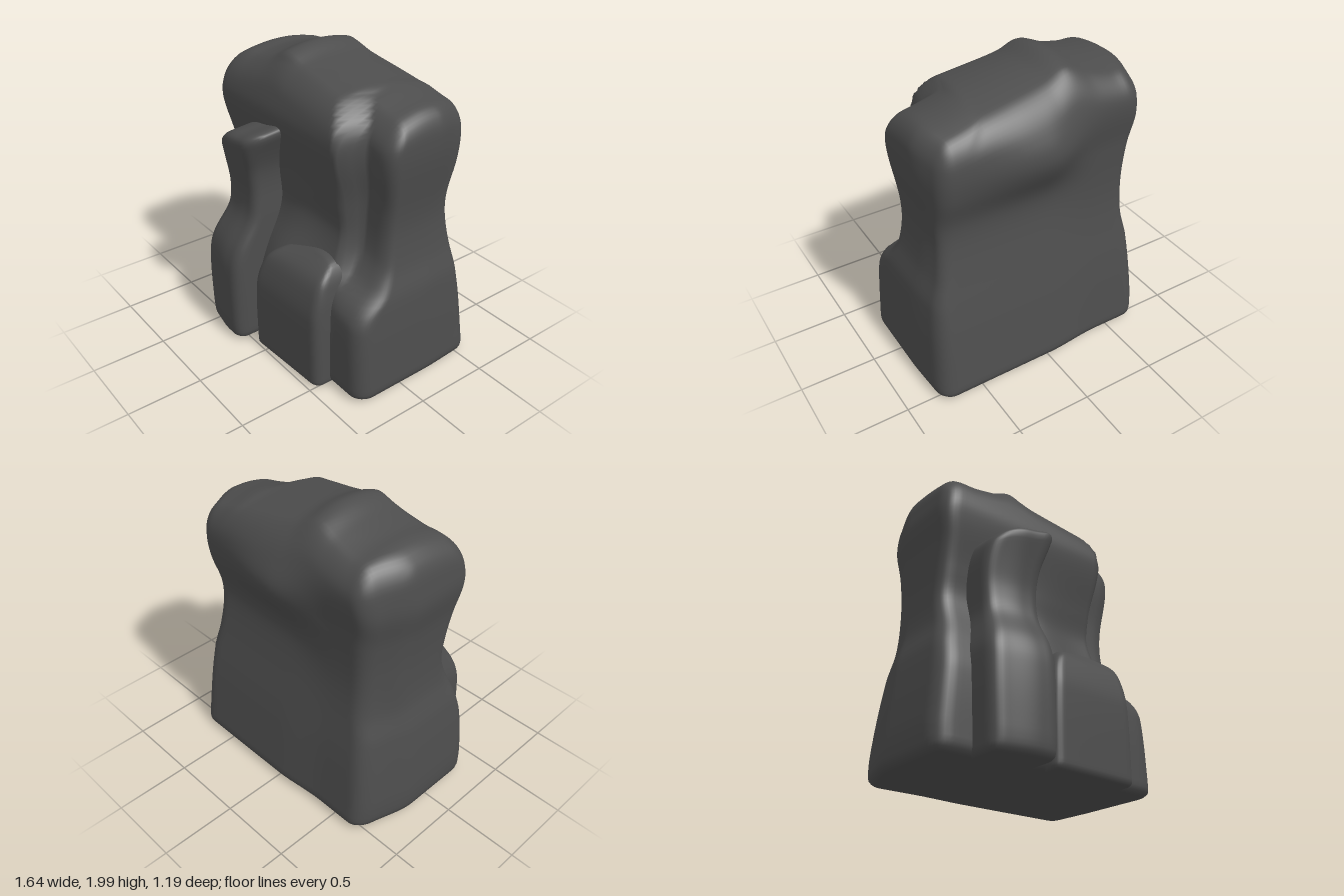
import * as THREE from 'three';
import { mergeVertices } from 'three/addons/utils/BufferGeometryUtils.js';

const { lerp, clamp, smoothstep } = THREE.MathUtils;
const bell = (d, width) => Math.exp(-((d / width) ** 2));

// Smooth curve through [position, value] pairs
function curve(...p) {
  const slope = (i) => {
    const a = p[Math.max(i - 1, 0)], b = p[Math.min(i + 1, p.length - 1)];
    return (b[1] - a[1]) / (b[0] - a[0]);
  };
  return (t) => {
    t = clamp(t, p[0][0], p[p.length - 1][0]);
    let i = 0;
    while (i < p.length - 2 && t > p[i + 1][0]) i++;
    const w = p[i + 1][0] - p[i][0], s = (t - p[i][0]) / w, s2 = s * s, s3 = s2 * s;
    return p[i][1] * (2 * s3 - 3 * s2 + 1) + slope(i) * w * (s3 - 2 * s2 + s)
      + p[i + 1][1] * (3 * s2 - 2 * s3) + slope(i + 1) * w * (s3 - s2);
  };
}

// Rounded block whose six sides follow the given curves
function boulder(name, material, segments, round, shape) {
  const box = new THREE.BoxGeometry(2, 2, 2, ...segments);
  box.deleteAttribute('uv');
  box.deleteAttribute('normal');
  const geometry = mergeVertices(box, 1e-4);
  const pos = geometry.attributes.position;
  const v = new THREE.Vector3(), inner = new THREE.Vector3(), r = new THREE.Vector3();
  for (let i = 0; i < pos.count; i++) {
    v.fromBufferAttribute(pos, i);
    r.set(round.x, v.y > 0 ? round.top : round.bottom, round.z);
    inner.set(clamp(v.x, r.x - 1, 1 - r.x), clamp(v.y, r.y - 1, 1 - r.y), clamp(v.z, r.z - 1, 1 - r.z));
    v.sub(inner).divide(r).normalize().multiply(r).add(inner);
    const a = (v.x + 1) / 2, h = (v.y + 1) / 2, c = (v.z + 1) / 2;
    const xTop = lerp(shape.left(1.2, v.z), shape.right(1.2, v.z), a);
    const y = 0.01 + h * (shape.top(xTop, v.z) - 0.01);
    const x = lerp(shape.left(y, v.z), shape.right(y, v.z), a);
    pos.setXYZ(i, x, y, lerp(shape.back(x, y), shape.front(x, y), c));
  }
  geometry.computeVertexNormals();
  const mesh = new THREE.Mesh(geometry, material);
  mesh.name = name;
  return mesh;
}

export function createModel() {
  const group = new THREE.Group();
  group.name = 'rock';
  const stone = new THREE.MeshStandardMaterial({ color: 0x4d4d4d });
  stone.name = 'dark stone';

  // Main mass: shoulder cut back at the +x front, overhang on the upper back
  const face = curve([0, 0.37], [0.5, 0.36], [0.7, 0.31], [1, 0.2], [1.2, 0.22], [1.58, 0.3], [1.75, 0.27], [1.92, 0.2]);
  const shoulder = curve([0, 0.36], [0.55, 0.35], [0.65, 0.3], [0.75, 0.18], [0.9, 0.1], [1.2, 0.08], [1.6, 0.12], [1.8, 0.05]);
  const shoulderEdge = curve([0.6, 0.5], [0.9, 0.46], [1.2, 0.46], [1.55, 0.5], [1.72, 0.47], [1.85, 0.38]);
  const leftSide = curve([0, -0.82], [0.2, -0.825], [0.65, -0.78], [0.85, -0.735], [1.1, -0.725], [1.35, -0.74], [1.55, -0.77], [1.7, -0.755], [1.9, -0.72]);
  const rightSide = curve([0, 0.82], [0.15, 0.815], [0.65, 0.78], [0.85, 0.73], [1.05, 0.705], [1.2, 0.71], [1.55, 0.755], [1.8, 0.75]);
  const crest = curve([-0.7, 1.87], [-0.6, 1.9], [-0.5, 1.905], [-0.35, 1.945], [-0.2, 2], [-0.05, 1.95], [0.2, 1.905], [0.4, 1.87], [0.55, 1.83], [0.7, 1.8]);
  const rear = curve([0, -0.6], [0.5, -0.535], [1, -0.445], [1.2, -0.435], [1.42, -0.49], [1.6, -0.505], [1.8, -0.48], [1.95, -0.42]);
  const buttress = curve([0, -0.57], [0.5, -0.515], [1, -0.445], [1.4, -0.455], [1.7, -0.49], [1.95, -0.42]);
  group.add(boulder('mainRock', stone, [56, 56, 32], { x: 0.13, top: 0.15, bottom: 0.06, z: 0.24 }, {
    left: (y, w) => leftSide(y) + 0.09 * smoothstep(-w, 0.1, 1),
    right: (y, w) => rightSide(y) - smoothstep(-w, 0.1, 1) * (0.02 + 0.05 * smoothstep(y, 1.1, 1.8)),
    top: (x, w) => crest(x) - 0.06 * w * w,
    front: (x, y) => {
      const e = shoulderEdge(y);
      const middle = 0.08 * bell(x, 0.22) * (1 - 0.5 * smoothstep(y, 0.5, 0.95) - 0.5 * smoothstep(y, 0.9, 1.5));
      return lerp(face(y) + middle, shoulder(y + 0.3 * (x - 0.65)), smoothstep(x, e - 0.03, e + 0.05));
    },
    back: (x, y) => lerp(buttress(y), rear(y), smoothstep(x, -0.4, 0))
      - 0.08 * bell(y - 1.55, 0.2) * bell(x - 0.03, x < 0.03 ? 0.25 : 0.4),
  }));

  // Tall column on the front, its top rising toward the middle
  const columnTop = curve([-0.55, 1.41], [-0.45, 1.49], [-0.3, 1.53], [-0.1, 1.6]);
  const columnFront = curve([0, 0.59], [0.15, 0.6], [0.55, 0.595], [0.7, 0.56], [0.9, 0.45], [1.05, 0.43], [1.2, 0.45], [1.48, 0.515]);
  group.add(boulder('frontColumn', stone, [22, 50, 18], { x: 0.35, top: 0.1, bottom: 0.06, z: 0.3 }, {
    left: curve([0, -0.59], [0.6, -0.6], [0.9, -0.535], [1.2, -0.55], [1.35, -0.53], [1.5, -0.46]),
    right: curve([0, -0.165], [0.9, -0.16], [1.15, -0.165], [1.3, -0.14], [1.56, -0.03]),
    top: (x, w) => columnTop(x) - 0.03 * w,
    front: (x, y) => columnFront(y) - 0.04 * smoothstep(-x, 0.3, 0.6)
      - 0.06 * smoothstep(x, -0.16, -0.03) * smoothstep(y, 1.1, 1.5),
    back: () => 0.05,
  }));

  // Low slab beside the column
  const slabTop = curve([-0.1, 0.72], [0.05, 0.79], [0.28, 0.86], [0.42, 0.85], [0.5, 0.79]);
  const slabFront = curve([0, 0.49], [0.5, 0.49], [0.65, 0.465], [0.76, 0.42], [0.85, 0.33]);
  group.add(boulder('frontSlab', stone, [32, 36, 18], { x: 0.18, top: 0.2, bottom: 0.08, z: 0.28 }, {
    left: curve([0, -0.12], [0.5, -0.11], [0.7, -0.06], [0.85, 0.06]),
    right: curve([0, 0.53], [0.6, 0.52], [0.85, 0.48]),
    top: (x) => slabTop(x),
    front: (x, y) => slabFront(y) - 0.05 * (x - 0.1),
    back: () => 0.02,
  }));

  return group;
}
